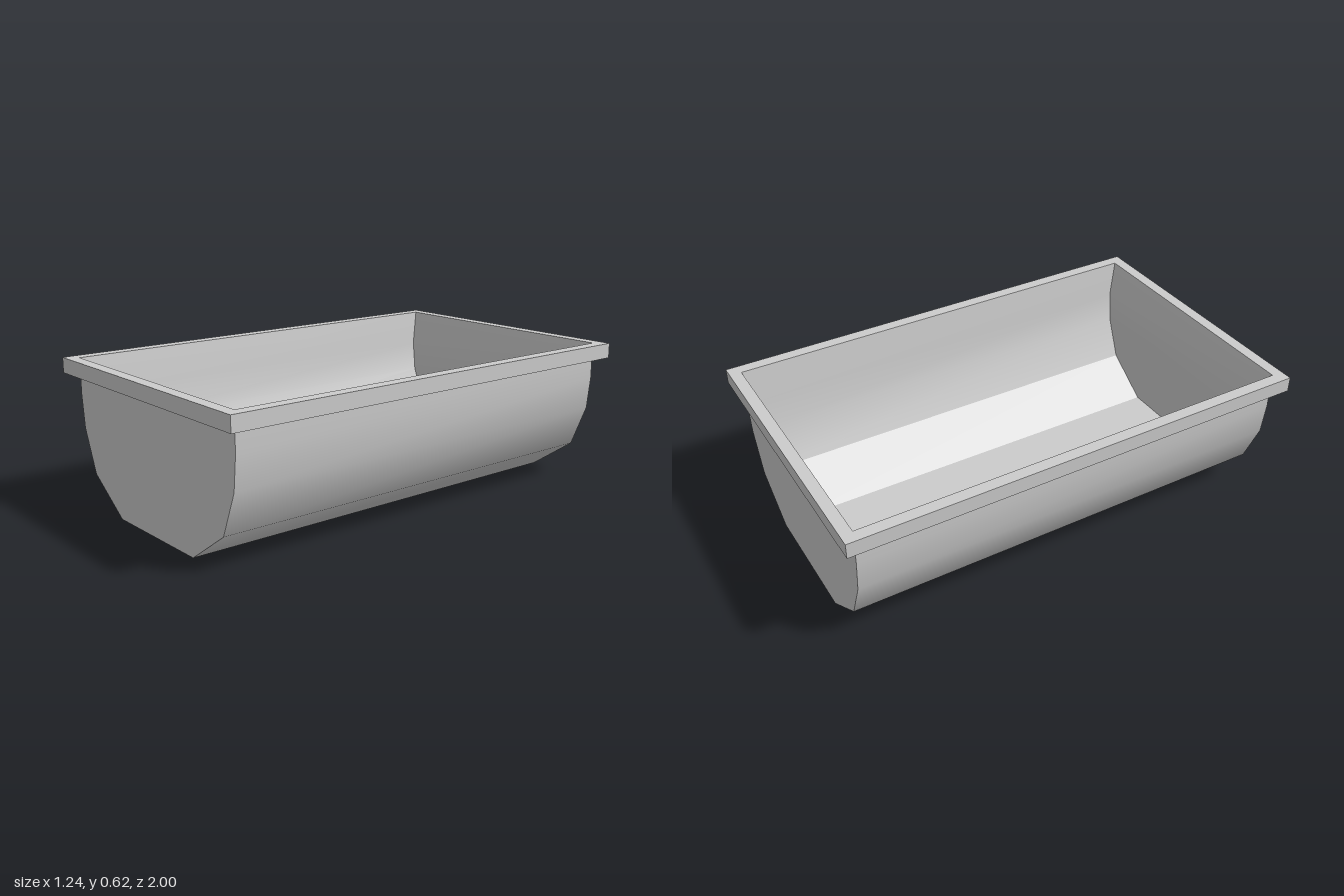
import * as THREE from 'three';
import { toCreasedNormals } from 'three/addons/utils/BufferGeometryUtils.js';

const material = new THREE.MeshStandardMaterial({ color: 0xcccccc });

// Skins a stack of rectangular rings, each given as [halfWidth, height, halfDepth].
// Rings running upward face outward, rings running downward face inward.
function loftRings(name, rings, crease) {
  const corners = ([x, y, z]) => [[x, y, z], [x, y, -z], [-x, y, -z], [-x, y, z]];
  const pos = [];
  for (let r = 0; r < rings.length - 1; r++) {
    const lower = corners(rings[r]);
    const upper = corners(rings[r + 1]);
    for (let i = 0; i < 4; i++) {
      const j = (i + 1) % 4;
      pos.push(...lower[i], ...lower[j], ...upper[j], ...lower[i], ...upper[j], ...upper[i]);
    }
  }
  const geometry = new THREE.BufferGeometry();
  geometry.setAttribute('position', new THREE.Float32BufferAttribute(pos, 3));
  const mesh = new THREE.Mesh(toCreasedNormals(geometry, crease), material);
  mesh.name = name;
  return mesh;
}

// Horizontal panel closing a ring, facing up (1) or down (-1)
function panel(name, [x, y, z], facing) {
  const geometry = new THREE.PlaneGeometry(2 * x, 2 * z);
  geometry.rotateX(-facing * Math.PI / 2);
  const mesh = new THREE.Mesh(geometry, material);
  mesh.name = name;
  mesh.position.y = y;
  return mesh;
}

export function createModel() {
  const group = new THREE.Group();
  group.name = 'trough';

  // Outer hull: rounded sides and flat ends
  const outer = [
    [0.27, 0, 0.95], [0.48, 0.143, 0.95], [0.555, 0.325, 0.95],
    [0.57, 0.465, 0.95], [0.57, 0.557, 0.95],
  ];
  group.add(loftRings('outerHull', outer, 0.7));
  group.add(panel('underside', outer[0], -1));

  // Projecting rim around the opening
  const rim = [[0.57, 0.557, 0.95], [0.622, 0.557, 1], [0.622, 0.622, 1], [0.57, 0.622, 0.95]];
  group.add(loftRings('rim', rim, 0.3));

  // Inner basin: the hull shrunk by the wall thickness, flaring out to the rim
  const inner = outer.slice(0, 4).map(([x, y, z]) =>
    [x * 0.965, 0.557 - (0.557 - y) * 0.965, z * 0.965]);
  group.add(loftRings('innerBasin', [rim[3], ...inner.slice().reverse()], 0.5));
  group.add(panel('basinFloor', inner[0], 1));

  return group;
}
